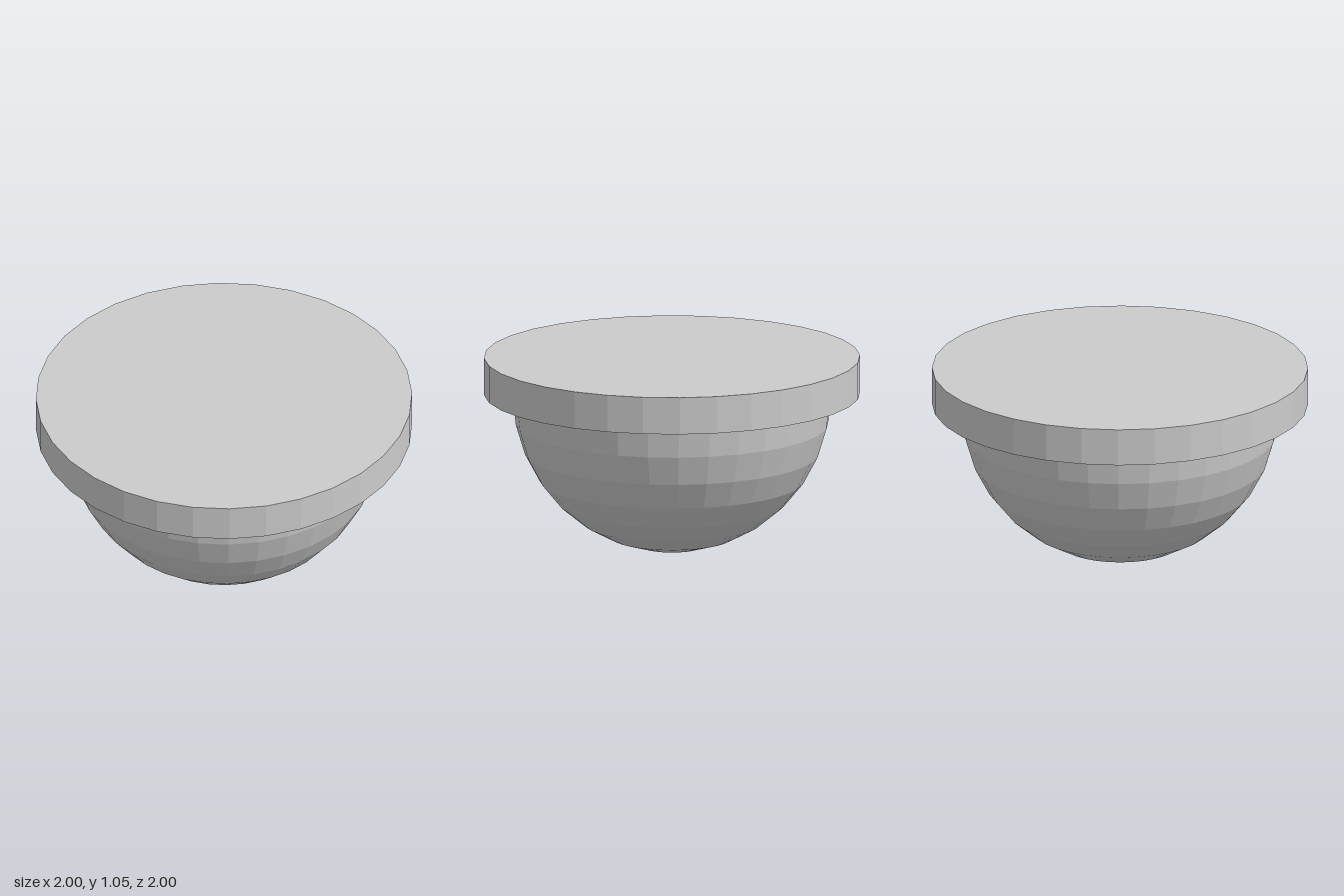
import * as THREE from 'three';

export function createModel() {
  const group = new THREE.Group();
  const material = new THREE.MeshStandardMaterial({ color: 0xcccccc, flatShading: true });
  const radius = 0.847, rimHeight = 0.2, sides = 32;

  // Faceted lower half-sphere, resting on its pole
  const bowl = new THREE.Mesh(
    new THREE.SphereGeometry(radius, sides, 8, 0, Math.PI * 2, Math.PI / 2, Math.PI / 2),
    material
  );
  bowl.name = 'bowl';
  bowl.position.y = radius;
  group.add(bowl);

  // Wide flat disc closing the bowl
  const disc = new THREE.Mesh(new THREE.CylinderGeometry(1, 1, rimHeight, sides), material);
  disc.name = 'topDisc';
  disc.position.y = radius + rimHeight / 2;
  group.add(disc);

  return group;
}
